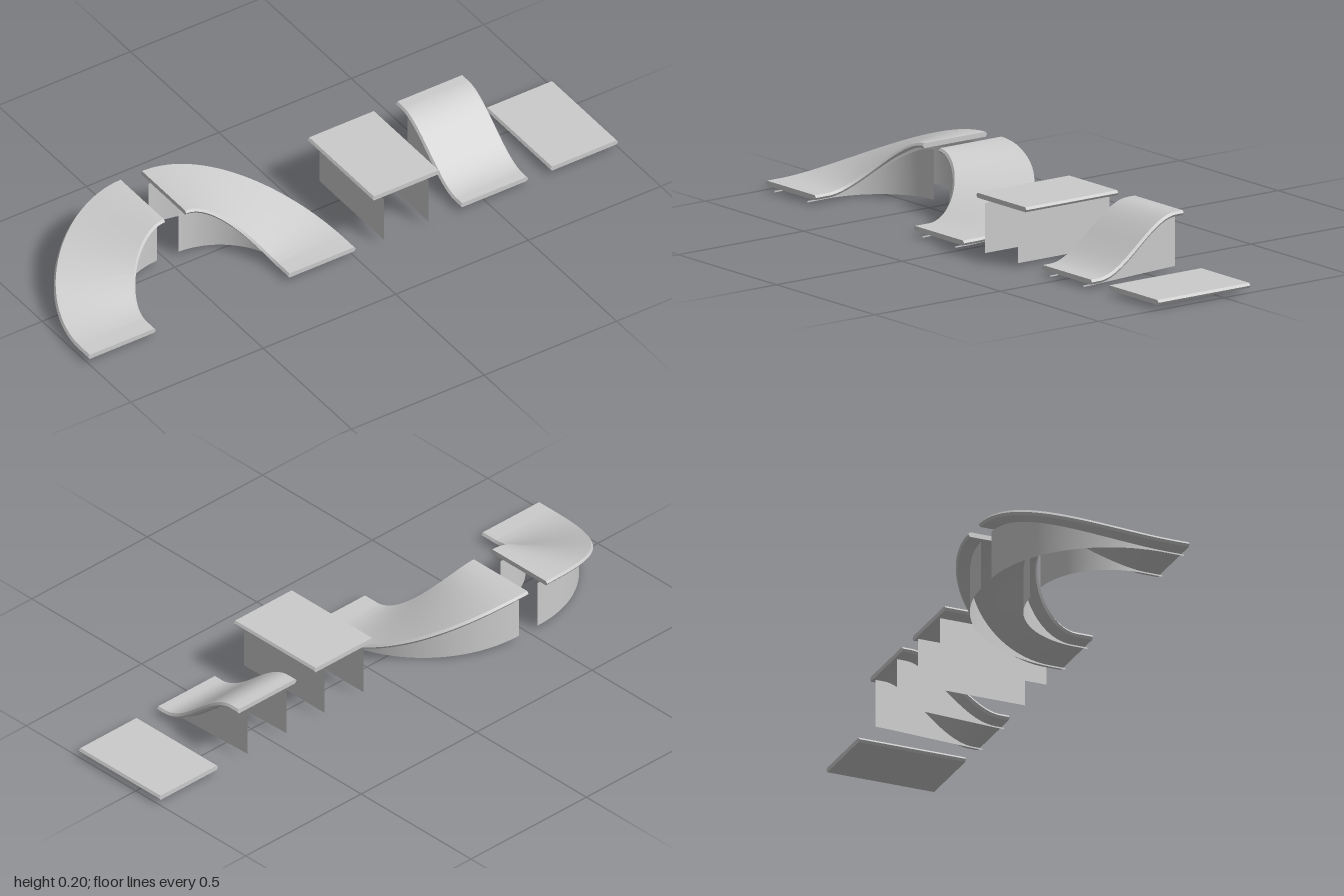
import * as THREE from 'three';
import { toCreasedNormals } from 'three/addons/utils/BufferGeometryUtils.js';

const WIDTH = 0.256, THICK = 0.016, CHAMFER = 0.006, INSET = 0.044, DROP = 0.026;
const LOW = 0.031, HIGH = 0.2, FRONT = 0.26, BACK = -0.106;
const RISE = HIGH - LOW;

const material = new THREE.MeshStandardMaterial({ color: 0xcccccc });
const sheetMaterial = new THREE.MeshStandardMaterial({ color: 0xcccccc, side: THREE.DoubleSide });

const smooth = (t) => t * t * (3 - 2 * t);
const slopeOf = (t, length) => (RISE * 6 * t * (1 - t)) / length;

// Skin a row of equal cross-sections; closed rings also get end caps
function loft(rings, closed) {
  const n = rings[0].length, index = [];
  const position = rings.flat(2);
  for (let k = 0; k < rings.length - 1; k++) {
    for (let i = 0; i < (closed ? n : n - 1); i++) {
      const j = (i + 1) % n;
      const a = k * n + i, b = k * n + j, c = a + n, d = b + n;
      index.push(a, c, b, b, c, d);
    }
  }
  if (closed) {
    const e = (rings.length - 1) * n;
    for (let i = 1; i < n - 1; i++) index.push(0, i, i + 1, e, e + i + 1, e + i);
  }
  const geometry = new THREE.BufferGeometry();
  geometry.setAttribute('position', new THREE.Float32BufferAttribute(position, 3));
  geometry.setIndex(index);
  return toCreasedNormals(geometry, 0.5);
}

function addMesh(group, name, geometry, mat) {
  const mesh = new THREE.Mesh(geometry, mat);
  mesh.name = name;
  group.add(mesh);
}

// A station along a track: at(offset) gives [x, z]; k stretches depth on slopes
const station = (at, y, slope = 0) => ({ at, y, k: Math.hypot(1, slope) });

// Deck with pointed side edges
function deck(stations) {
  const h = WIDTH / 2, t = THICK;
  const profile = [
    [-h + CHAMFER, t], [h - CHAMFER, t], [h, t / 2],
    [h - CHAMFER, 0], [-h + CHAMFER, 0], [-h, t / 2],
  ];
  return loft(stations.map((s) => profile.map(([o, d]) => {
    const [x, z] = s.at(o);
    return [x, s.y - d * s.k, z];
  })), true);
}

// Thin wall following the track under the deck
function wall(stations, offset, bottomStart, bottomEnd) {
  return loft(stations.map((s, i) => {
    const [x, z] = s.at(offset);
    const bottom = bottomStart + (bottomEnd - bottomStart) * i / (stations.length - 1);
    return [[x, bottom, z], [x, s.y - DROP * s.k, z]];
  }), false);
}

function track(name, stations, bottoms) {
  const group = new THREE.Group();
  group.name = name;
  addMesh(group, name + 'Deck', deck(stations), material);
  if (bottoms) {
    const o = WIDTH / 2 - INSET;
    addMesh(group, name + 'RightWall', wall(stations, -o, ...bottoms), sheetMaterial);
    addMesh(group, name + 'LeftWall', wall(stations, o, ...bottoms), sheetMaterial);
  }
  return group;
}

// Level straight piece
function levelStations(cx, y) {
  return [FRONT, BACK].map((z) => station((o) => [cx + o, z], y));
}

// Straight S-shaped ramp with short level ends
function rampStations(cx) {
  const flat = 0.03, steps = 28, length = FRONT - BACK - 2 * flat;
  const list = [station((o) => [cx + o, FRONT], LOW)];
  for (let i = 0; i <= steps; i++) {
    const t = i / steps, z = FRONT - flat - t * length;
    list.push(station((o) => [cx + o, z], LOW + RISE * smooth(t), slopeOf(t, length)));
  }
  list.push(station((o) => [cx + o, BACK], HIGH));
  return list;
}

// Quarter-turn ramp; side -1 bulges to the right, +1 to the left
function curveStations(cx, side) {
  const cz = 0.206, R = 0.465 - WIDTH / 2, steps = 40;
  const list = [station((o) => [cx + side * (R + side * o), FRONT], LOW)];
  for (let i = 0; i <= steps; i++) {
    const t = i / steps, a = t * Math.PI / 2;
    list.push(station((o) => {
      const r = R + side * o;
      return [cx + side * r * Math.cos(a), cz - r * Math.sin(a)];
    }, LOW + RISE * smooth(t), slopeOf(t, R * Math.PI / 2)));
  }
  return list;
}

export function createModel() {
  const model = new THREE.Group();
  model.name = 'trackPieces';
  model.add(
    track('rightCurvedRamp', curveStations(-0.535, -1), [0, 0.012]),
    track('leftCurvedRamp', curveStations(-0.455, 1), [0, 0.012]),
    track('raisedPlatform', levelStations(0.2, HIGH), [0.012, 0.012]),
    track('straightRamp', rampStations(0.533), [0, 0.012]),
    track('groundPlate', levelStations(0.872, LOW)),
  );
  return model;
}
